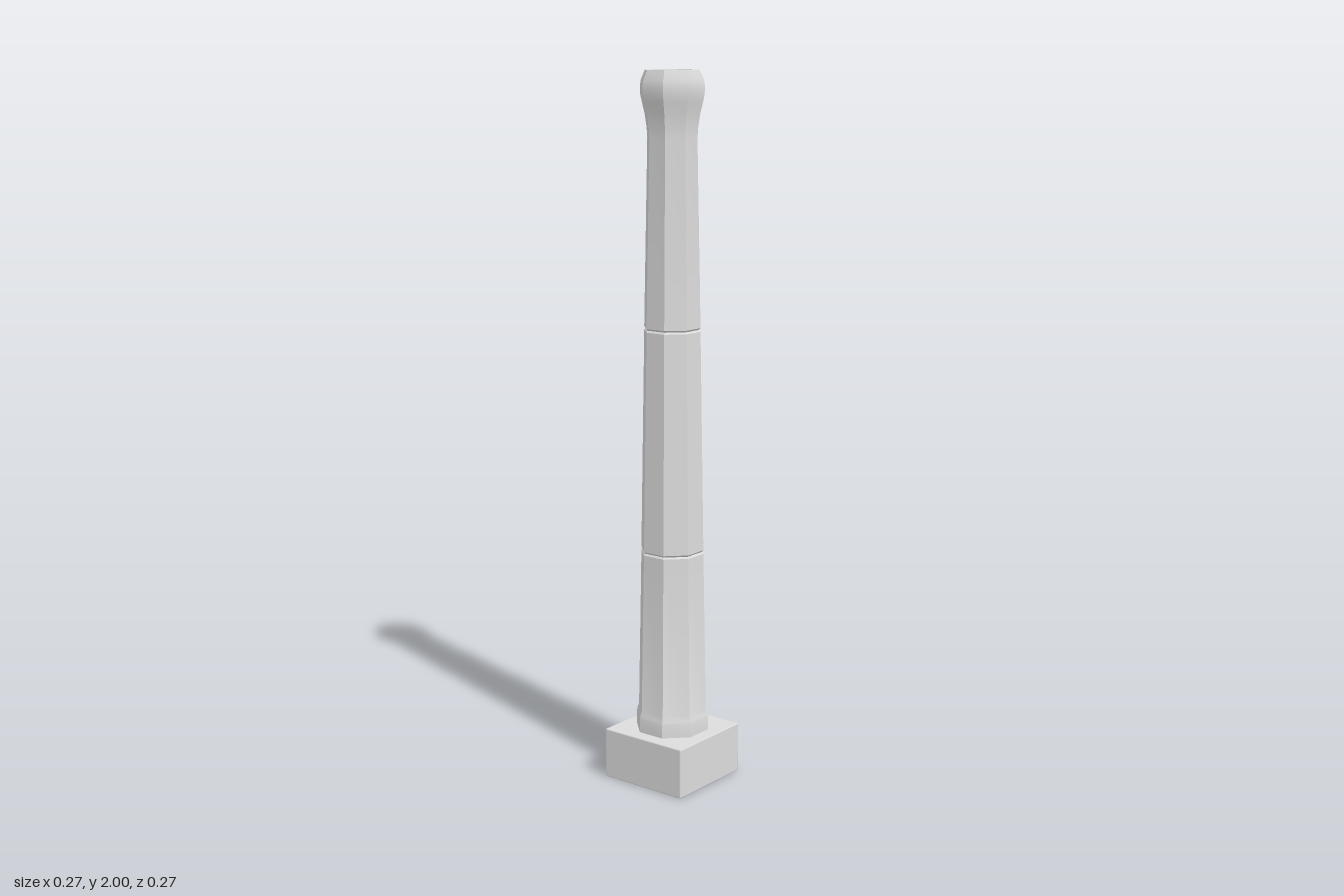
import * as THREE from 'three';
import { toCreasedNormals } from 'three/addons/utils/BufferGeometryUtils.js';
import { RoundedBoxGeometry } from 'three/addons/geometries/RoundedBoxGeometry.js';

const SIDES = 8;

export function createModel() {
  const model = new THREE.Group();
  model.name = 'chimney';
  const stone = new THREE.MeshStandardMaterial({ color: 0xdcdcdc });
  stone.name = 'pale grey';

  const add = (name, geometry) => {
    const mesh = new THREE.Mesh(geometry, stone);
    mesh.name = name;
    model.add(mesh);
    return mesh;
  };

  // Octagonal section from [flat-to-centre distance, height] pairs, flats facing the axes
  const octagon = (name, profile) => {
    const k = 1 / Math.cos(Math.PI / SIDES);
    const points = profile.map(([r, y]) => new THREE.Vector2(r * k, y));
    const lathe = new THREE.LatheGeometry(points, SIDES, Math.PI / SIDES);
    return add(name, toCreasedNormals(lathe, 0.6));
  };

  // Square plinth with a slight bevel
  add('plinth', new RoundedBoxGeometry(0.274, 0.145, 0.274, 1, 0.004)).position.y = 0.0725;

  // Lower shaft with a flared foot
  octagon('lowerShaft', [
    [0.098, 0.143], [0.098, 0.182], [0.096, 0.192], [0.092, 0.206],
    [0.084, 0.665], [0.08, 0.67],
  ]);

  // Middle shaft, bevelled at both joints
  octagon('middleShaft', [[0.08, 0.67], [0.084, 0.675], [0.0745, 1.295], [0.0705, 1.3]]);

  // Upper shaft flaring into the crown
  octagon('upperShaftAndCrown', [
    [0.0705, 1.3], [0.0745, 1.305], [0.065, 1.82], [0.067, 1.85], [0.072, 1.885],
    [0.079, 1.915], [0.083, 1.935], [0.084, 1.955], [0.082, 1.972], [0.071, 2],
  ]);

  // Flat rim and the flue running down to the plinth
  octagon('rimAndFlue', [[0.071, 2], [0.052, 2], [0.052, 0.143]]);

  return model;
}
